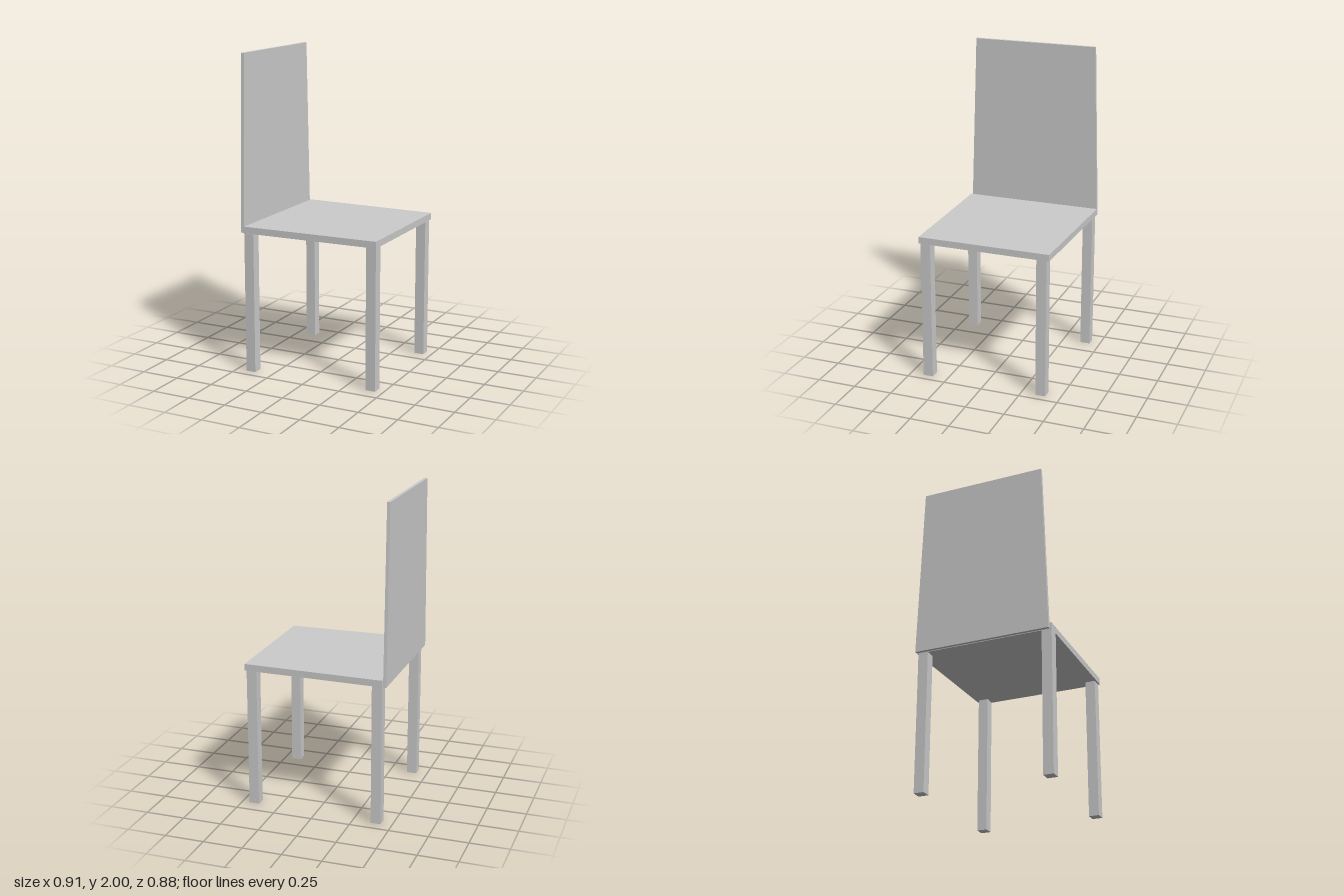
import * as THREE from 'three';

const material = new THREE.MeshStandardMaterial({ color: 0xcccccc, flatShading: true });

// Flat board: a polygon outline given a thickness
function board(name, corners, depth) {
  const shape = new THREE.Shape(corners.map(([a, b]) => new THREE.Vector2(a, b)));
  const mesh = new THREE.Mesh(new THREE.ExtrudeGeometry(shape, { depth, bevelEnabled: false }), material);
  mesh.name = name;
  return mesh;
}

export function createModel() {
  const chair = new THREE.Group();
  chair.name = 'chair';
  const seatBottom = 0.895, seatTop = 0.937, legSize = 0.064;

  // Seat: tapers slightly away from the backrest; outline in x, z, extruded downwards
  const seat = board('seat', [[-0.431, -0.443], [0.456, -0.424], [0.456, 0.423], [-0.431, 0.441]], seatTop - seatBottom);
  seat.rotation.x = Math.PI / 2;
  seat.position.y = seatTop;
  chair.add(seat);

  // Backrest: thin tapering panel just behind the seat; outline in z, y, extruded towards -x
  const backrest = board('backrest', [[-0.442, seatBottom], [0.434, seatBottom], [0.397, 2], [-0.405, 2]], 0.02);
  backrest.rotation.y = -Math.PI / 2;
  backrest.position.x = -0.438;
  chair.add(backrest);

  // Legs: the pair under the backrest stands wider apart
  const legGeometry = new THREE.BoxGeometry(legSize, seatBottom, legSize);
  const legs = [
    ['backLegLeft', -0.398, 0.41], ['backLegRight', -0.398, -0.402],
    ['frontLegLeft', 0.419, 0.381], ['frontLegRight', 0.419, -0.374],
  ];
  for (const [name, x, z] of legs) {
    const leg = new THREE.Mesh(legGeometry, material);
    leg.name = name;
    leg.position.set(x, seatBottom / 2, z);
    chair.add(leg);
  }
  return chair;
}
